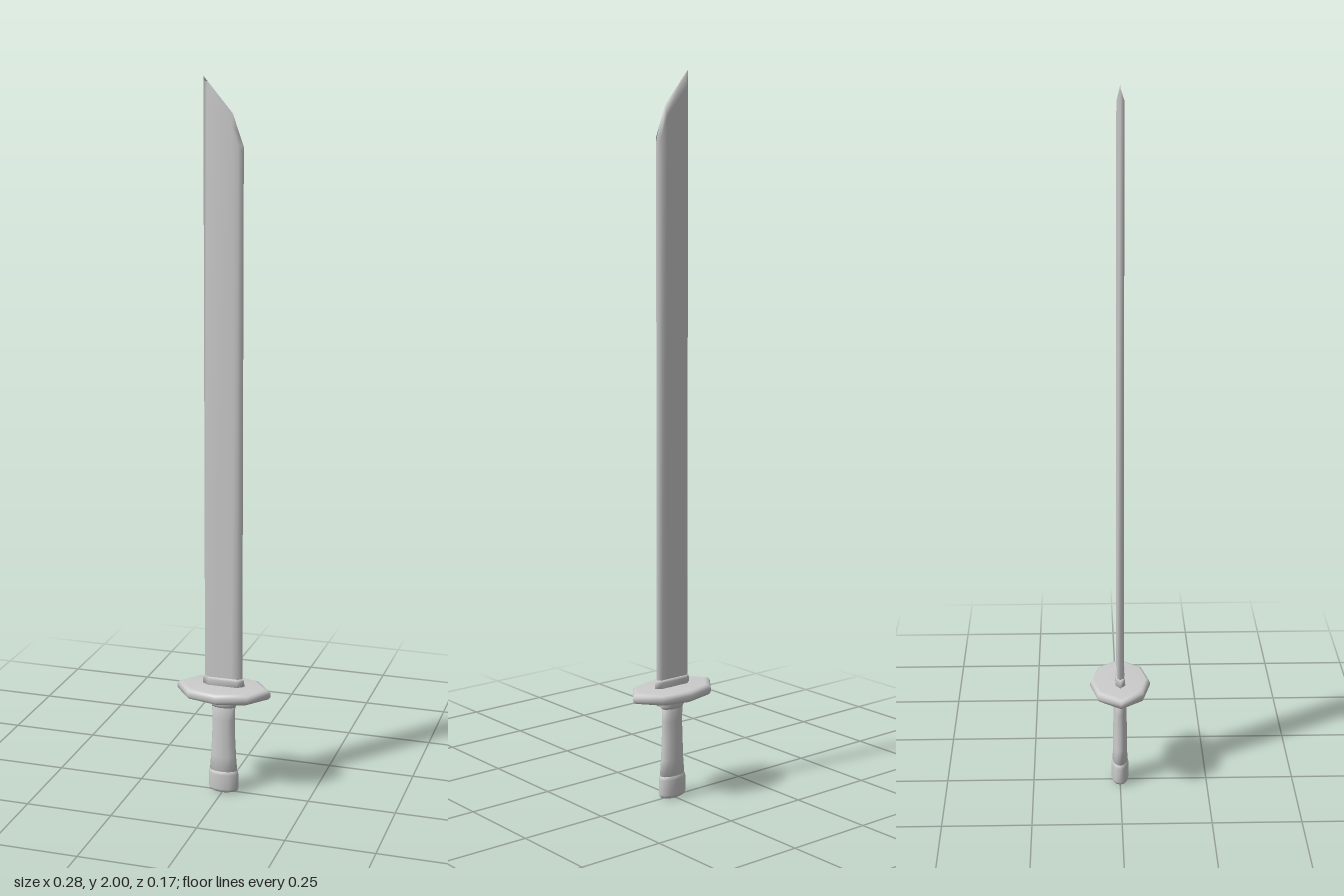
import * as THREE from 'three';

const material = new THREE.MeshStandardMaterial({ color: 0xcccccc });

// Skin a stack of equal-length rings (each ordered -x, +z, +x, -z) and close both ends
function loft(name, rings) {
  const n = rings[0].length, pos = [], idx = [];
  rings.forEach(r => r.forEach(p => pos.push(...p)));
  for (let k = 0; k < rings.length - 1; k++) {
    for (let i = 0; i < n; i++) {
      const a = k * n + i, b = k * n + (i + 1) % n;
      idx.push(a, b, b + n, a, b + n, a + n);
    }
  }
  const cap = (ring, start, up) => {
    const c = [0, 1, 2].map(j => ring.reduce((s, p) => s + p[j], 0) / n);
    const m = pos.length / 3;
    pos.push(...c);
    for (let i = 0; i < n; i++) {
      const a = start + i, b = start + (i + 1) % n;
      if (up) idx.push(a, b, m); else idx.push(b, a, m);
    }
  };
  cap(rings[0], 0, false);
  cap(rings[rings.length - 1], (rings.length - 1) * n, true);
  const geo = new THREE.BufferGeometry();
  geo.setAttribute('position', new THREE.Float32BufferAttribute(pos, 3));
  geo.setIndex(idx);
  geo.computeVertexNormals();
  const mesh = new THREE.Mesh(geo, material);
  mesh.name = name;
  return mesh;
}

// Ring from a plan outline, scaled in x and z
const ringAt = (plan, y, sx, sz = sx) => plan.map(([x, z]) => [x * sx, y, z * sz]);

export function createModel() {
  const group = new THREE.Group();

  // Blade: flat hexagonal section whose top follows the slanted tip
  const bladePlan = [[-0.055, 0], [-0.043, 0.01], [0.025, 0.01], [0.043, 0.01],
    [0.055, 0], [0.043, -0.01], [0.025, -0.01], [-0.043, -0.01]];
  const tipY = x => x < 0.025
    ? 2 - (x + 0.055) / 0.08 * 0.095
    : 1.905 - (x - 0.025) / 0.03 * 0.085;
  group.add(loft('blade', [
    ringAt(bladePlan, 0.31, 1),
    bladePlan.map(([x, z]) => [x, tipY(x) - (z ? 0.03 : 0.012), z]),
    bladePlan.map(([x]) => [x, tipY(x), 0]),
  ]));

  // Collar at the foot of the blade
  const collarPlan = [[-0.062, 0], [-0.043, 0.014], [0.043, 0.014],
    [0.062, 0], [0.043, -0.014], [-0.043, -0.014]];
  group.add(loft('bladeCollar', [
    ringAt(collarPlan, 0.312, 1), ringAt(collarPlan, 0.338, 0.97), ringAt(collarPlan, 0.345, 0.9),
  ]));

  // Eight-sided guard with a rounded rim
  const guardPlan = [[-0.138, 0], [-0.087, 0.064], [0, 0.085], [0.087, 0.064],
    [0.138, 0], [0.087, -0.064], [0, -0.085], [-0.087, -0.064]];
  group.add(loft('guard', [[0.29, 0.86], [0.294, 0.96], [0.301, 1],
    [0.311, 1], [0.318, 0.96], [0.322, 0.86]].map(([y, s]) => ringAt(guardPlan, y, s))));

  // Oval grip, ferrule and pommel
  const oval = Array.from({ length: 12 }, (_, i) => {
    const a = i / 12 * Math.PI * 2;
    return [-Math.cos(a), Math.sin(a)];
  });
  const ovalPart = (name, profile) =>
    group.add(loft(name, profile.map(([y, rx, rz]) => ringAt(oval, y, rx, rz))));
  ovalPart('pommel', [[0, 0.03, 0.016], [0.004, 0.041, 0.022], [0.012, 0.044, 0.025],
    [0.055, 0.044, 0.025], [0.064, 0.042, 0.023], [0.068, 0.036, 0.018]]);
  ovalPart('grip', [[0.06, 0.041, 0.022], [0.11, 0.037, 0.02], [0.17, 0.034, 0.02],
    [0.22, 0.033, 0.018], [0.27, 0.035, 0.018]]);
  ovalPart('ferrule', [[0.258, 0.035, 0.018], [0.266, 0.038, 0.022],
    [0.284, 0.04, 0.024], [0.295, 0.04, 0.024]]);

  return group;
}
